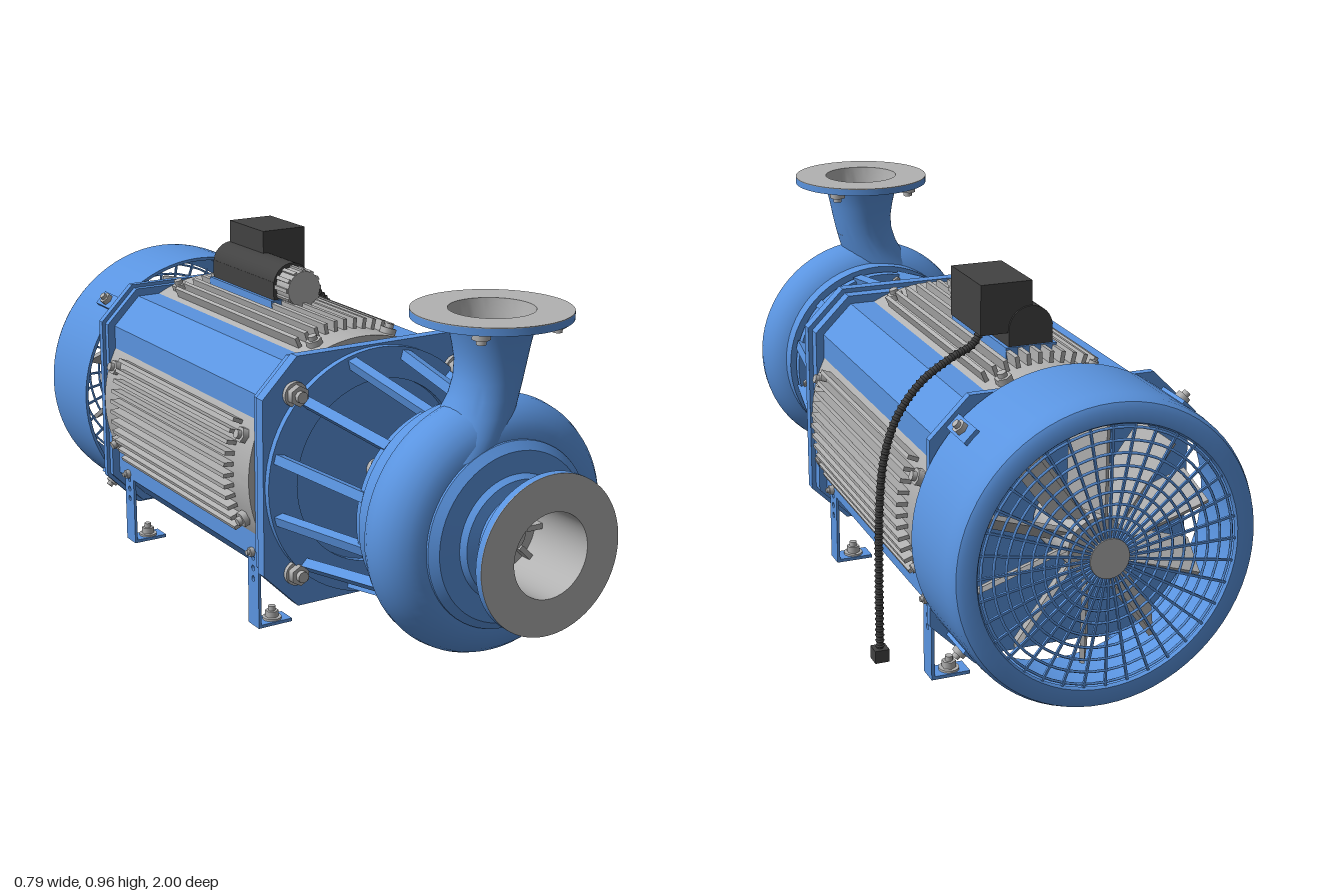
import * as THREE from 'three';
import { toCreasedNormals } from 'three/addons/utils/BufferGeometryUtils.js';

const mat = (name, color) => {
  const m = new THREE.MeshStandardMaterial({ color });
  m.name = name;
  return m;
};

export function createModel() {
  const blue = mat('blue paint', 0x5a94e0);
  const grey = mat('bare metal', 0xb2b2b2);
  const dark = mat('dark plastic', 0x424242);

  const root = new THREE.Group();
  root.name = 'motorPump';
  // everything is placed relative to the shaft axis
  const AXIS = 0.425;
  const unit = new THREE.Group();
  unit.name = 'unit';
  unit.position.set(-0.01, AXIS, 0);
  root.add(unit);

  const add = (name, geo, material, parent = unit, x = 0, y = 0, z = 0) => {
    const m = new THREE.Mesh(geo, material);
    m.name = name;
    m.position.set(x, y, z);
    parent.add(m);
    return m;
  };
  const group = (name, parent = unit, rotZ = 0) => {
    const g = new THREE.Group();
    g.name = name;
    g.rotation.z = rotZ;
    parent.add(g);
    return g;
  };
  const lathe = (pts, seg = 64) => toCreasedNormals(
    new THREE.LatheGeometry(pts.map(p => new THREE.Vector2(p[0], p[1])), seg), 0.6);
  const latheZ = (pts, seg) => lathe(pts, seg).rotateX(Math.PI / 2);
  const box = (w, h, d) => new THREE.BoxGeometry(w, h, d);
  const extrude = (shape, depth, curveSegments = 16) =>
    new THREE.ExtrudeGeometry(shape, { depth, bevelEnabled: false, curveSegments });

  // hex head with a short stud, pointing along dir
  const up = new THREE.Vector3(0, 1, 0);
  const bolt = (parent, pos, dir, r = 0.018, h = 0.02) => {
    const g = group('bolt', parent);
    g.position.set(...pos);
    g.quaternion.setFromUnitVectors(up, new THREE.Vector3(...dir).normalize());
    add('boltHead', new THREE.CylinderGeometry(r, r, h, 6).toNonIndexed(), grey, g, 0, h / 2, 0);
    add('boltStud', new THREE.CylinderGeometry(r * 0.55, r * 0.55, h * 0.7, 10), grey, g, 0, h * 1.3, 0);
  };

  // square with cut corners, used for the motor body and end shields
  const octagon = (half, c) => new THREE.Shape(
    [[half, -c], [half, c], [c, half], [-c, half], [-half, c], [-half, -c], [-c, -half], [c, -half]]
      .map(p => new THREE.Vector2(p[0], p[1])));

  // ---- pump casing ----
  add('volute', new THREE.TorusGeometry(0.232, 0.096, 24, 72), blue, unit, 0, 0, 0.738);
  add('suctionPipe', latheZ([[0.107, 0.79], [0.236, 0.79], [0.236, 0.84], [0.215, 0.857], [0.16, 0.86],
    [0.15, 0.875], [0.12, 0.88], [0.12, 0.979], [0.2, 0.979], [0.2, 0.998], [0.107, 0.998]]), blue);
  add('suctionFaceAndBore', latheZ([[0.2, 0.998], [0.2, 1], [0.107, 1], [0.107, 0.8], [0, 0.8]]), grey);
  const impeller = group('impeller');
  add('impellerHub', new THREE.CylinderGeometry(0.04, 0.04, 0.06, 32).rotateX(Math.PI / 2), grey, impeller, 0, 0, 0.82);
  for (let i = 0; i < 8; i++) {
    const g = group('impellerVane', impeller, i * Math.PI / 4);
    add('vane', box(0.014, 0.045, 0.03), grey, g, 0, 0.084, 0.815);
  }
  add('casingCover', latheZ([[0, 0.575], [0.265, 0.575], [0.265, 0.6], [0.253, 0.6], [0.253, 0.61],
    [0.28, 0.61], [0.28, 0.655], [0.22, 0.68], [0, 0.68]]), blue);
  for (let i = 0; i < 16; i++) {
    const a = (i + 0.5) * Math.PI / 8;
    bolt(unit, [0.245 * Math.cos(a), 0.245 * Math.sin(a), 0.575], [0, 0, -1], 0.014, 0.012);
  }

  // ---- outlet neck, drifting sideways into the volute ----
  const lean = geo => {
    const p = geo.attributes.position;
    for (let i = 0; i < p.count; i++) {
      const t = Math.max(0, 0.43 - p.getY(i));
      p.setX(i, p.getX(i) - 1.9 * t * t);
    }
    geo.computeVertexNormals();
    return toCreasedNormals(geo, 0.6);
  };
  const outlet = group('outlet');
  outlet.position.set(0.007, 0, 0.737);
  add('outletNeck', lean(lathe([[0.105, 0.2], [0.098, 0.25], [0.09, 0.29], [0.085, 0.33], [0.084, 0.37],
    [0.087, 0.41], [0.094, 0.45], [0.103, 0.49], [0.112, 0.515]], 48)), blue, outlet);
  add('outletFlange', lathe([[0.108, 0.515], [0.195, 0.515], [0.195, 0.533]]), blue, outlet);
  add('outletFaceAndBore', lathe([[0.195, 0.533], [0.195, 0.535], [0.105, 0.535], [0.1, 0.5],
    [0.078, 0.41], [0.075, 0.36], [0, 0.36]]), grey, outlet);
  for (const sx of [-1, 1]) for (const s of [-1, 1]) {
    bolt(outlet, [sx * 0.11, 0.515, s * 0.11], [0, -1, 0], 0.022, 0.018);
    bolt(unit, [sx * 0.11, s * 0.11, 0.979], [0, 0, -1], 0.022, 0.014);
  }

  // ---- bearing housing, shaft and lantern struts ----
  add('bearingHousing', latheZ([[0, 0.43], [0.1, 0.43], [0.1, 0.447], [0.13, 0.45], [0.14, 0.465],
    [0.14, 0.555], [0.165, 0.575]]), blue);
  add('shaft', new THREE.CylinderGeometry(0.028, 0.028, 0.22, 24).rotateX(Math.PI / 2), grey, unit, 0, 0, 0.34);
  const [r0, z0, r1, z1] = [0.258, 0.595, 0.318, 0.24];
  for (let i = 0; i < 12; i++) {
    const g = group('lanternStrut', unit, (i + 0.5) * Math.PI / 6);
    const s = add('strut', box(0.026, 0.026, Math.hypot(r1 - r0, z0 - z1)), blue, g, 0, (r0 + r1) / 2, (z0 + z1) / 2);
    s.rotation.x = Math.atan2(r1 - r0, z0 - z1);
  }
  add('lanternRing', latheZ([[0.25, 0.24], [0.335, 0.24], [0.335, 0.268], [0.25, 0.268], [0.25, 0.24]]), blue);

  // ---- motor body ----
  add('motorBody', extrude(octagon(0.306, 0.226), 0.9), blue, unit, 0, 0, -0.71);
  add('frontShield', extrude(octagon(0.34, 0.238), 0.032), blue, unit, 0, 0, 0.218);
  add('frontShieldStep', extrude(octagon(0.328, 0.232), 0.035), blue, unit, 0, 0, 0.185);
  add('rearShield', extrude(octagon(0.338, 0.238), 0.02), blue, unit, 0, 0, -0.725);
  add('rearShieldStep', extrude(octagon(0.328, 0.232), 0.02), blue, unit, 0, 0, -0.707);
  for (const sx of [-1, 1]) for (const sy of [-1, 1]) {
    add('boltWasher', new THREE.CylinderGeometry(0.033, 0.033, 0.012, 24).rotateX(Math.PI / 2), grey, unit, sx * 0.248, sy * 0.243, 0.256);
    bolt(unit, [sx * 0.248, sy * 0.243, 0.26], [0, 0, 1], 0.028, 0.022);
  }

  // ---- curved finned panels on four sides ----
  const half = 0.495;
  const arc = new THREE.Shape();
  arc.absarc(0, 0, 0.345, Math.PI / 2 - half, Math.PI / 2 + half, false);
  arc.absarc(0, 0, 0.29, Math.PI / 2 + half, Math.PI / 2 - half, true);
  const panelGeo = toCreasedNormals(extrude(arc, 0.87, 20), 0.5);
  for (let k = 0; k < 4; k++) {
    const panel = group('finnedPanel', unit, k * Math.PI / 2);
    add('panelPlate', panelGeo, grey, panel, 0, 0, -0.688);
    for (let i = -5; i <= 5; i++) {
      const g = group('coolingFin', panel, i * 0.083);
      // the outer fins stay clear of the corner bolts
      add('fin', box(0.011, 0.04, 0.69), grey, g, 0, 0.354, -0.245);
    }
    for (const sx of [-1, 1]) for (const z of [-0.636, 0.13])
      bolt(panel, [sx * 0.112, 0.324, z], [sx * 0.112, 0.324, 0], 0.022, 0.018);
  }

  // ---- fan cover with wire grille ----
  const cover = group('fanCover');
  add('coverShell', latheZ([[0.325, -0.992], [0.33, -1], [0.362, -1], [0.377, -0.992], [0.385, -0.975],
    [0.387, -0.95], [0.387, -0.733], [0.378, -0.733], [0.378, -0.965], [0.36, -0.99], [0.325, -0.992]], 72), blue, cover);
  for (let i = 0; i < 9; i++)
    add('grilleRing', new THREE.TorusGeometry(0.07 + i * 0.031, 0.0035, 5, 56), blue, cover, 0, 0, -0.992);
  for (let i = 0; i < 36; i++) {
    const g = group('grilleSpoke', cover, i * Math.PI / 18);
    add('spoke', box(0.006, 0.285, 0.006), blue, g, 0, 0.187, -0.992);
  }
  add('grilleHub', new THREE.CylinderGeometry(0.05, 0.05, 0.012, 32).rotateX(Math.PI / 2), grey, cover, 0, 0, -0.992);
  add('fanHub', new THREE.CylinderGeometry(0.075, 0.075, 0.2, 32).rotateX(Math.PI / 2), grey, cover, 0, 0, -0.83);
  for (let i = 0; i < 10; i++) {
    const g = group('fanBlade', cover, i * Math.PI / 5);
    const b = add('blade', box(0.012, 0.24, 0.11), grey, g, 0, 0.18, -0.87);
    b.rotation.y = 0.5;
  }
  for (let k = 0; k < 4; k++) {
    const g = group('coverClip', cover, Math.PI / 4 + k * Math.PI / 2);
    add('clipStrap', box(0.044, 0.012, 0.12), blue, g, 0, 0.391, -0.775);
    bolt(g, [0, 0.395, -0.785], [0, 1, 0], 0.018, 0.016);
  }

  // ---- L-shaped feet ----
  const upright = new THREE.Shape([[-0.028, 0], [0.028, 0], [0.028, 0.232], [-0.028, 0.232]]
    .map(p => new THREE.Vector2(p[0], p[1])));
  for (const y of [0.135, 0.165, 0.195]) {
    const hole = new THREE.Path();
    hole.absarc(0, y, 0.008, 0, Math.PI * 2, true);
    upright.holes.push(hole);
  }
  const uprightGeo = extrude(upright, 0.008, 8).rotateY(Math.PI / 2);
  for (const s of [-1, 1]) for (const z of [0.13, -0.622]) {
    const foot = group('foot');
    foot.position.set(s * 0.302, -AXIS, z);
    add('footUpright', uprightGeo, blue, foot, -0.004, 0, 0);
    add('footPlate', box(0.1, 0.009, 0.056), blue, foot, -s * 0.048, 0.0045, 0);
    add('footWasher', new THREE.CylinderGeometry(0.026, 0.026, 0.006, 20), grey, foot, -s * 0.052, 0.012, 0);
    bolt(foot, [-s * 0.052, 0.013, 0], [0, 1, 0], 0.018, 0.02);
    bolt(foot, [s * 0.004, 0.212, 0], [s, 0, 0], 0.013, 0.012);
  }

  // ---- terminal unit on top ----
  const terminal = group('terminalUnit');
  add('terminalBase', box(0.135, 0.05, 0.36), blue, terminal, 0, 0.35, -0.355);
  add('terminalSaddle', box(0.116, 0.07, 0.35), dark, terminal, 0, 0.39, -0.355);
  add('terminalBarrel', new THREE.CylinderGeometry(0.058, 0.058, 0.35, 40).rotateX(Math.PI / 2), dark, terminal, 0, 0.416, -0.355);
  add('terminalKnob', new THREE.CylinderGeometry(0.05, 0.05, 0.07, 32).rotateX(Math.PI / 2), grey, terminal, 0, 0.412, -0.148);
  for (let i = 0; i < 12; i++) {
    const g = group('knobRib', terminal, i * Math.PI / 6);
    g.position.set(0, 0.412, -0.148);
    add('rib', box(0.011, 0.01, 0.066), grey, g, 0, 0.05, 0);
  }
  add('controlBox', box(0.135, 0.127, 0.195), dark, terminal, 0.063, 0.473, -0.428);

  // ---- corrugated cable with end plug ----
  const path = new THREE.CatmullRomCurve3([[0.1, 0.42, -0.47], [0.13, 0.375, -0.475], [0.19, 0.35, -0.485],
    [0.27, 0.3, -0.49], [0.335, 0.22, -0.495], [0.37, 0.12, -0.497], [0.384, 0, -0.498],
    [0.388, -0.2, -0.498], [0.388, -0.4, -0.498]].map(p => new THREE.Vector3(...p)));
  add('cable', new THREE.TubeGeometry(path, 80, 0.009, 10), dark);
  const ringGeo = new THREE.TorusGeometry(0.0085, 0.0035, 5, 12);
  for (let i = 1; i < 64; i++) {
    const ring = add('cableRidge', ringGeo, dark);
    ring.position.copy(path.getPointAt(i / 64));
    ring.quaternion.setFromUnitVectors(new THREE.Vector3(0, 0, 1), path.getTangentAt(i / 64));
  }
  add('cablePlug', box(0.038, 0.034, 0.038), dark, unit, 0.388, -AXIS + 0.017, -0.498);

  return root;
}
